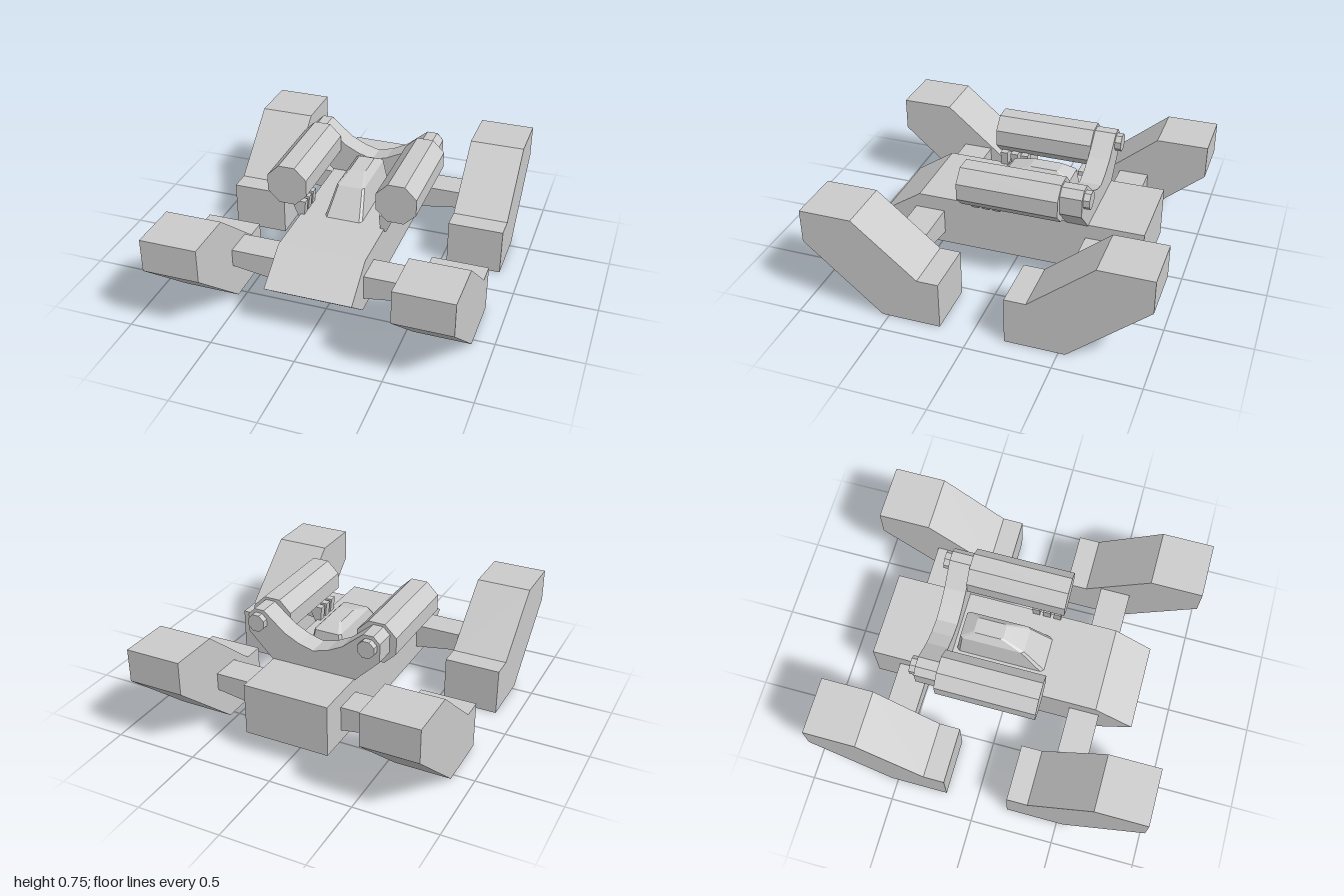
import * as THREE from 'three';

const material = new THREE.MeshStandardMaterial({ color: 0xcccccc, flatShading: true });

function add(parent, name, geometry) {
  const mesh = new THREE.Mesh(geometry, material);
  mesh.name = name;
  parent.add(mesh);
  return mesh;
}

// Prism of an (x, y) profile running from z0 to z1
function prismZ(points, z0, z1) {
  const shape = new THREE.Shape(points.map(([x, y]) => new THREE.Vector2(x, y)));
  return new THREE.ExtrudeGeometry(shape, { depth: z1 - z0, bevelEnabled: false }).translate(0, 0, z0);
}

// Prism of a (z, y) profile running from x0 to x1
function prismX(points, x0, x1) {
  return prismZ(points, -x1, -x0).rotateY(-Math.PI / 2);
}

const flip = (points, s) => points.map(([a, y]) => [a * s, y]);

// Rectangle with clipped corners, counter-clockwise from above
function clippedRing(y, w, back, front, cx, cz) {
  return [
    [w - cx, y, front], [w, y, front - cz], [w, y, back + cz], [w - cx, y, back],
    [cx - w, y, back], [-w, y, back + cz], [-w, y, front - cz], [cx - w, y, front],
  ];
}

// Skin stacked rings and close the top
function loft(rings) {
  const n = rings[0].length;
  const index = [];
  for (let r = 0; r < rings.length - 1; r++) {
    for (let i = 0; i < n; i++) {
      const a = r * n + i, b = r * n + (i + 1) % n;
      index.push(a, b, b + n, a, b + n, a + n);
    }
  }
  const top = (rings.length - 1) * n;
  for (let i = 1; i < n - 1; i++) index.push(top, top + i, top + i + 1);
  const geometry = new THREE.BufferGeometry();
  geometry.setAttribute('position', new THREE.Float32BufferAttribute(rings.flat(2), 3));
  geometry.setIndex(index);
  geometry.computeVertexNormals();
  return geometry;
}

// Octagonal bar along z with flat sides up, across = flat-to-flat size
function octagonBar(across, length) {
  const r = across / 2 / Math.cos(Math.PI / 8);
  return new THREE.CylinderGeometry(r, r, length, 8).rotateY(Math.PI / 8).rotateX(Math.PI / 2);
}

export function createModel() {
  const model = new THREE.Group();
  model.name = 'vehicle';

  // Hull with a wedge nose
  add(model, 'hull', prismX([
    [-0.805, 0.125], [0.6, 0.125], [0.79, 0.28], [0.56, 0.435], [-0.805, 0.435],
  ], -0.257, 0.257));

  // Canopy
  add(model, 'canopy', loft([
    clippedRing(0.43, 0.115, -0.33, 0.21, 0.015, 0.02),
    clippedRing(0.585, 0.085, -0.31, 0.075, 0.012, 0.015),
    clippedRing(0.625, 0.048, -0.235, -0.06, 0.008, 0.01),
  ]));

  // Four track pods and their struts
  const trackProfile = [
    [0.19, 0], [0.54, 0], [1, 0.4], [1, 0.6], [0.69, 0.6], [0.315, 0.285], [0.19, 0.285],
  ];
  const strutProfile = [[0.25, 0.195], [0.55, 0.24], [0.55, 0.345], [0.25, 0.345]];
  for (const sx of [1, -1]) {
    const side = sx > 0 ? 'left' : 'right';
    for (const sz of [1, -1]) {
      const end = sz > 0 ? 'Front' : 'Rear';
      add(model, `${side}${end}Track`, prismX(flip(trackProfile, sz), sx > 0 ? 0.54 : -0.875, sx > 0 ? 0.875 : -0.54));
      const z = sz > 0 ? 0.495 : -0.555;
      add(model, `${side}${end}Strut`, prismZ(flip(strutProfile, sx), z - 0.09, z + 0.09));
    }
  }

  // Rear yoke carrying the two upper pods
  const yokeHalf = [[0.26, 0.43], [0.41, 0.58], [0.41, 0.69], [0.37, 0.73], [0.31, 0.73], [0.18, 0.62], [0.09, 0.575]];
  add(model, 'yoke', prismZ(
    [...yokeHalf, [0, 0.55], ...flip(yokeHalf, -1).reverse()], -0.48, -0.35));

  const ribProfile = [[0.235, 0.42], [0.27, 0.42], [0.315, 0.52], [0.225, 0.52]];
  for (const sx of [1, -1]) {
    const side = sx > 0 ? 'left' : 'right';
    // Octagonal pod
    add(model, `${side}Pod`, octagonBar(0.24, 0.595)).position.set(0.33 * sx, 0.625, -0.055);
    // Knob behind the yoke
    add(model, `${side}Knob`, octagonBar(0.1, 0.06)).position.set(0.342 * sx, 0.66, -0.487);
    // Ribs between hull and pod
    for (const z of [0.2, 0.135, 0.07]) {
      add(model, `${side}Rib`, prismZ(flip(ribProfile, sx), z - 0.022, z + 0.022));
    }
  }
  return model;
}
